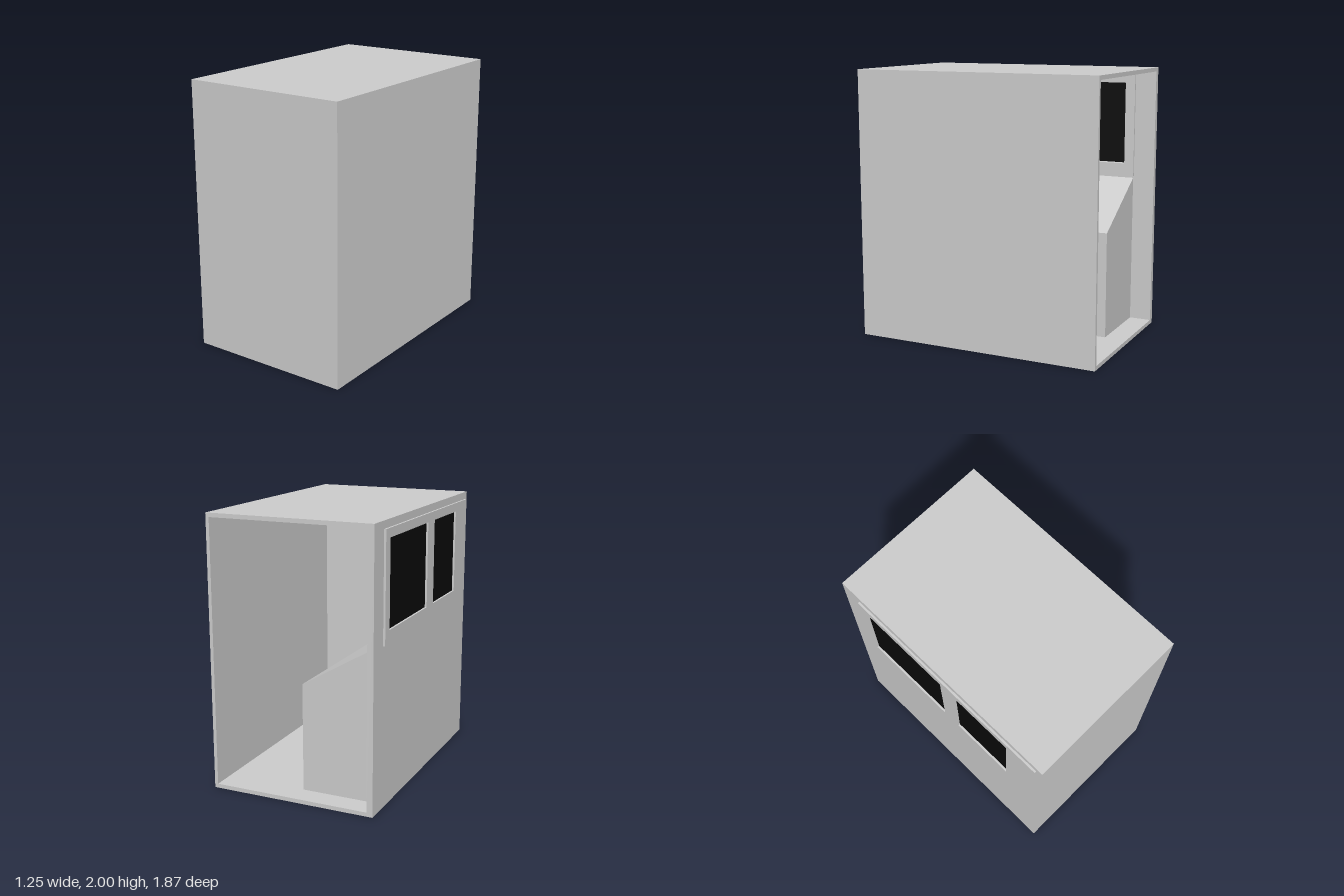
import * as THREE from 'three';

const grey = new THREE.MeshStandardMaterial({ color: 0xcccccc });
const black = new THREE.MeshStandardMaterial({ color: 0x0a0a0a });

export function createModel() {
  const model = new THREE.Group();

  const add = (name, geometry, material = grey) => {
    const mesh = new THREE.Mesh(geometry, material);
    mesh.name = name;
    model.add(mesh);
  };
  // Box given by its limits on each axis
  const box = (name, [x0, x1], [y0, y1], [z0, z1], material) => {
    const g = new THREE.BoxGeometry(x1 - x0, y1 - y0, z1 - z0);
    g.translate((x0 + x1) / 2, (y0 + y1) / 2, (z0 + z1) / 2);
    add(name, g, material);
  };
  const trace = (path, [z0, z1], [y0, y1]) =>
    path.moveTo(z0, y0).lineTo(z1, y0).lineTo(z1, y1).lineTo(z0, y1).closePath();
  // Upright slab in the z-y plane with rectangular openings
  const slab = (name, [x0, x1], y, z, openings) => {
    const shape = trace(new THREE.Shape(), z, y);
    for (const o of openings) shape.holes.push(trace(new THREE.Path(), o.z, o.y));
    const g = new THREE.ExtrudeGeometry(shape, { depth: x1 - x0, bevelEnabled: false });
    g.rotateY(-Math.PI / 2).translate(x1, 0, 0);
    add(name, g);
  };

  const X = [-0.615, 0.625], Z = [-0.935, 0.935];
  const floorTop = 0.03, ceiling = 1.97;
  const inner = [-0.57, 0.6];

  // Shell, open at the back
  box('floor', X, [0, floorTop], Z);
  box('roof', X, [ceiling, 2], Z);
  box('leftWall', [inner[1], X[1]], [floorTop, ceiling], Z);
  box('frontWall', inner, [floorTop, ceiling], [0.905, Z[1]]);

  // Right wall with a window frame set through it
  const frame = { y: [1.165, 1.945], z: [-0.775, 0.885] };
  slab('rightWall', [X[0], inner[0]], [floorTop, ceiling], Z, [frame]);
  const windows = [[-0.7, 0.015], [0.15, 0.63]].map((z) => ({ y: [1.26, 1.88], z }));
  slab('windowFrame', [-0.63, -0.555], frame.y, frame.z, windows);
  for (const w of windows) box('windowPane', [-0.615, -0.61], w.y, w.z, black);

  // Counter under the windows, with a sloping top
  const profile = new THREE.Shape([
    [inner[0], floorTop], [-0.01, floorTop], [-0.01, 0.82], [inner[0], 1.15],
  ].map(([x, y]) => new THREE.Vector2(x, y)));
  const counter = new THREE.ExtrudeGeometry(profile, { depth: 1.65, bevelEnabled: false });
  add('counter', counter.translate(0, 0, -0.77));

  return model;
}
